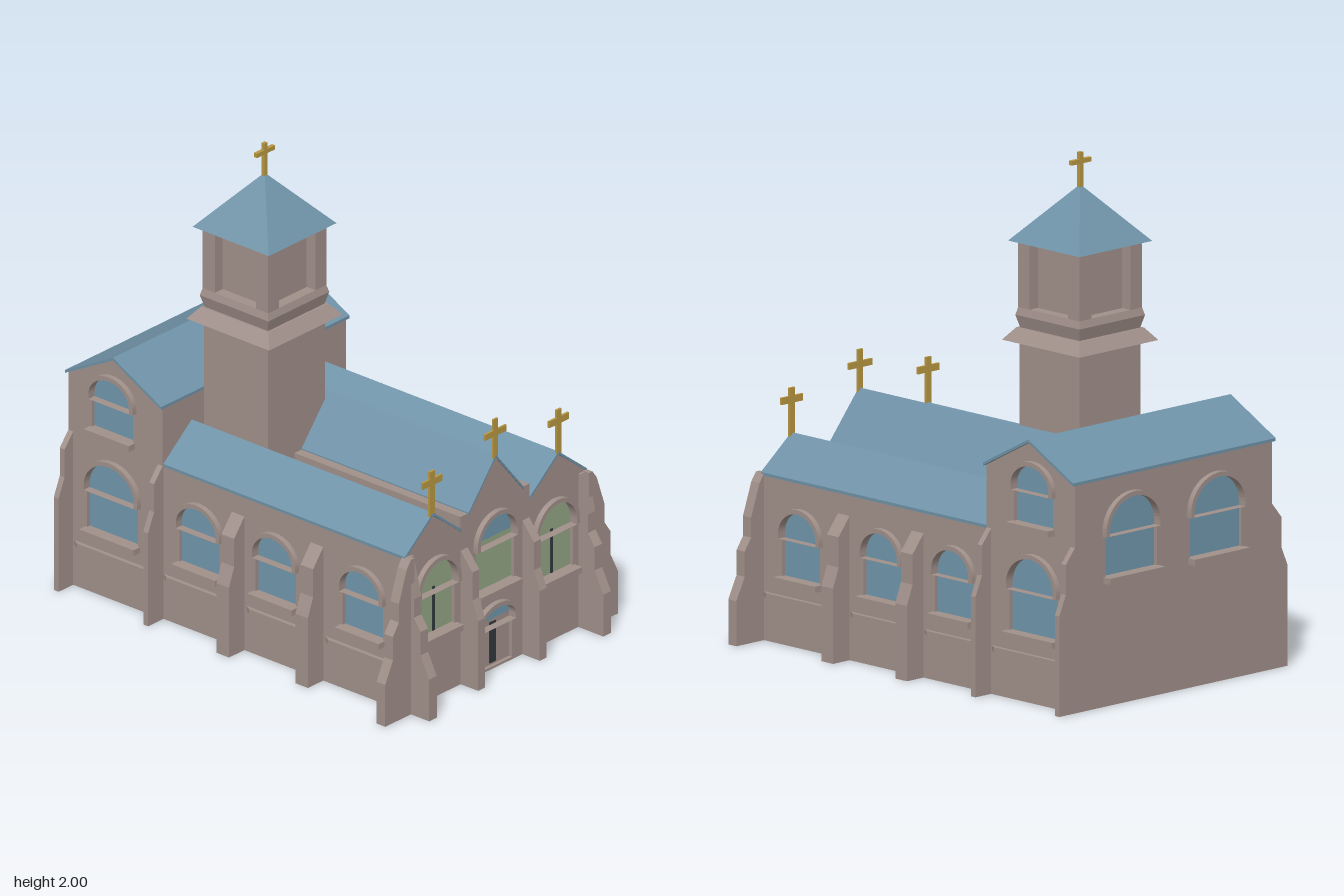
import * as THREE from 'three';

const mat = (name, color, side = THREE.FrontSide) => {
  const m = new THREE.MeshStandardMaterial({ color, side });
  m.name = name;
  return m;
};

export function createModel() {
  const stone = mat('stone', 0xa1908a, THREE.DoubleSide);
  const roofBlue = mat('roofBlue', 0x6f92a7, THREE.DoubleSide);
  const glass = mat('glassBlue', 0x7096ac);
  const green = mat('stainedGreen', 0x92a585);
  const dark = mat('darkIron', 0x2f383b);
  const gold = mat('gold', 0xb89742);

  const model = new THREE.Group();
  model.name = 'church';

  const add = (parent, name, geo, material, x = 0, y = 0, z = 0) => {
    const m = new THREE.Mesh(geo, material);
    m.name = name;
    m.position.set(x, y, z);
    parent.add(m);
    return m;
  };
  const box = (parent, name, material, w, h, d, x, y, z) =>
    add(parent, name, new THREE.BoxGeometry(w, h, d), material, x, y, z);
  const poly = pts => new THREE.Shape(pts.map(p => new THREE.Vector2(p[0], p[1])));
  const extrude = (shape, depth) =>
    new THREE.ExtrudeGeometry(shape, { depth, bevelEnabled: false, curveSegments: 14 });

  // Arched outline: centre, half width, bottom, spring line, top
  const archShape = ({ c, w, b, s, t }, grow = 0) => {
    const sh = new THREE.Shape();
    sh.moveTo(c - w - grow, b);
    sh.lineTo(c + w + grow, b);
    sh.lineTo(c + w + grow, s);
    sh.absellipse(c, s, w + grow, t - s + grow, 0, Math.PI, false);
    sh.lineTo(c - w - grow, b);
    return sh;
  };

  // Window or door with recessed pane, hood moulding and sill
  const opening = (wall, o) => {
    const { c, w, b, s, t, lower = glass, upper = glass, sill = true, mullion = 0 } = o;
    const pane = new THREE.Group();
    pane.name = o.door ? 'door' : 'window';
    wall.add(pane);
    add(pane, 'paneLower', new THREE.PlaneGeometry(2 * w, s - b), lower, c, (s + b) / 2, -0.016);
    add(pane, 'paneUpper', new THREE.ShapeGeometry(archShape({ c, w, b: s, s, t }), 14), upper, 0, 0, -0.016);
    add(pane, 'paneBacking', new THREE.ShapeGeometry(archShape(o), 14), stone, 0, 0, -0.026);
    if (mullion) box(pane, 'centreBar', dark, mullion, s - b - 0.02, 0.004, c, (s + b) / 2, -0.013);
    const low = s - 0.02;
    const hood = archShape({ c, w, b: low, s, t }, 0.016);
    hood.holes.push(archShape({ c, w: w - 0.002, b: low + 0.0005, s, t: t - 0.002 }));
    add(pane, 'hood', extrude(hood, 0.035), stone, 0, 0, -0.012);
    if (sill) box(pane, 'sill', stone, 2 * w + 0.02, 0.025, 0.055, c, b - 0.005, 0.01);
  };

  // Wall: outline in (u, y), outward along local z
  const wall = (name, outline, openings, x, z, turn) => {
    const g = new THREE.Group();
    g.name = name;
    g.position.set(x, 0, z);
    g.rotation.y = turn;
    const sh = poly(outline);
    openings.forEach(o => sh.holes.push(archShape(o)));
    add(g, 'wallFace', extrude(sh, 0.03), stone, 0, 0, -0.03);
    openings.forEach(o => opening(g, o));
    model.add(g);
    return g;
  };

  // Stepped buttress between u0 and u1, profile in (outward, y)
  const buttress = (g, u0, u1, profile) => {
    const top = profile[profile.length - 1][1];
    const geo = extrude(poly([[-0.02, 0], ...profile, [-0.02, top]]), u1 - u0);
    geo.rotateY(-Math.PI / 2);
    add(g, 'buttress', geo, stone, u1, 0, 0);
  };
  // String course with chamfered ends
  const course = (g, u0, u1) => {
    const geo = extrude(poly([[u0, 0], [u1, 0], [u1 - 0.03, -0.018], [u0 + 0.03, -0.018]]), 0.02);
    geo.rotateX(-Math.PI / 2);
    geo.scale(1, 1, 1);
    add(g, 'stringCourse', geo, stone, 0, 0.175, 0);
  };

  const naveStep = [[0.09, 0], [0.09, 0.3], [0.06, 0.38], [0.06, 0.5], [0, 0.575]];
  const transeptStep = [[0.085, 0], [0.085, 0.4], [0.05, 0.48], [0.05, 0.6], [0, 0.66]];
  const cornerStep = [[0.15, 0], [0.15, 0.18], [0.105, 0.27], [0.105, 0.37], [0.07, 0.42],
    [0.07, 0.5], [0.025, 0.63], [0, 0.665]];
  const endStep = [[0.13, 0], [0.13, 0.18], [0.085, 0.27], [0.085, 0.37], [0.05, 0.42],
    [0.05, 0.5], [0.01, 0.66]];

  // Long side walls, mirrored front and back
  for (const s of [1, -1]) {
    const turn = s > 0 ? 0 : Math.PI;
    const tag = s > 0 ? 'front' : 'back';
    const span = (g, fn, a, b, ...r) => (s > 0 ? fn(g, a, b, ...r) : fn(g, -b, -a, ...r));
    const nave = wall(tag + 'NaveWall', [[-0.43 * s, 0], [0.82 * s, 0], [0.82 * s, 0.665], [-0.43 * s, 0.665]],
      [-0.243, 0.153, 0.605].map(c => ({ c: c * s, w: 0.105, b: 0.265, s: 0.445, t: 0.54 })),
      0, 0.53 * s, turn);
    span(nave, buttress, -0.075, -0.01, naveStep);
    span(nave, buttress, 0.335, 0.4, naveStep);
    span(nave, buttress, 0.81, 0.855, cornerStep);
    [[-0.43, -0.08], [0, 0.33], [0.41, 0.81]].forEach(([a, b]) => span(nave, course, a, b));

    const tr = wall(tag + 'TranseptWall',
      [[-0.92, 0], [-0.43, 0], [-0.43, 0.915], [-0.675, 1.04], [-0.92, 0.915]].map(([x, y]) => [x * s, y]),
      [{ c: -0.69 * s, w: 0.132, b: 0.265, s: 0.46, t: 0.58 },
        { c: -0.69 * s, w: 0.107, b: 0.705, s: 0.86, t: 0.95 }],
      0, 0.535 * s, turn);
    span(tr, buttress, -0.92, -0.895, transeptStep);
    span(tr, buttress, -0.455, -0.43, transeptStep);
    span(tr, course, -0.89, -0.46);
  }

  // Three-gabled entrance wall
  const half = [[0.53, 0.665], [0.366, 0.785], [0.2, 0.66], [0.2, 0.72], [0.16, 0.72]];
  const side = { w: 0.11, b: 0.27, s: 0.48, t: 0.59, lower: green, upper: green, mullion: 0.012 };
  const east = wall('entranceWall',
    [[-0.53, 0], [0.53, 0], ...half, [0, 0.905], ...half.map(([u, y]) => [-u, y]).reverse()],
    [{ ...side, c: 0.345 }, { ...side, c: -0.345 },
      { c: 0, w: 0.11, b: 0.345, s: 0.56, t: 0.665, lower: green, upper: glass },
      { c: 0, w: 0.1, b: 0.01, s: 0.205, t: 0.27, lower: stone, upper: glass, sill: false, mullion: 0.035, door: true }],
    0.82, 0, Math.PI / 2);
  for (const s of [1, -1]) {
    buttress(east, s * 0.508 - 0.022, s * 0.508 + 0.022, endStep);
    buttress(east, s * 0.18 - 0.02, s * 0.18 + 0.02, naveStep);
    // Gutter walls between the roofs
    box(model, 'roofGutter', stone, 1.24, 0.1, 0.042, 0.195, 0.67, s * 0.18);
  }

  // Rear wall and inner transept wall above the nave
  wall('rearWall', [[-0.535, 0], [0.535, 0], [0.535, 0.915], [-0.535, 0.915]],
    [0.23, -0.23].map(c => ({ c, w: 0.14, b: 0.51, s: 0.7, t: 0.825 })), -0.92, 0, -Math.PI / 2);
  box(model, 'innerTranseptWall', stone, 0.02, 0.3, 1.07, -0.44, 0.765, 0);

  // Ridge roofs: chevrons given by half width, eave and ridge heights
  const chevron = (name, hw, eave, ridge, length) => {
    const k = 0.012;
    const geo = extrude(poly([[-hw, eave], [0, ridge], [hw, eave], [hw, eave - k], [0, ridge - k], [-hw, eave - k]]), length);
    geo.translate(0, 0, -length / 2);
    return add(model, name, geo, roofBlue);
  };
  const transeptRoof = chevron('transeptRoof', 0.25, 0.92, 1.053, 1.1);
  transeptRoof.position.x = -0.675;
  [[0, 0.16, 0.725, 0.918], [0.366, 0.166, 0.668, 0.8], [-0.366, 0.166, 0.668, 0.8]].forEach(([z, hw, e, r]) => {
    const m = chevron('naveRoof', hw, e, r, 1.255);
    m.rotation.y = Math.PI / 2;
    m.position.set(0.198, 0, z);
  });

  // Square tower
  const tower = new THREE.Group();
  tower.name = 'tower';
  tower.position.set(-0.208, 0, 0.19);
  model.add(tower);
  const frustum = (name, material, bottom, top, y0, y1) => {
    const q = Math.SQRT2;
    let geo = new THREE.CylinderGeometry(top * q, bottom * q, y1 - y0, 4);
    geo.rotateY(Math.PI / 4);
    geo = geo.toNonIndexed();
    geo.computeVertexNormals();
    add(tower, name, geo, material, 0, (y0 + y1) / 2, 0);
  };
  frustum('towerShaft', stone, 0.166, 0.166, 0.66, 1.25);
  frustum('towerCornice', stone, 0.215, 0.175, 1.25, 1.3);
  frustum('belfryBase', stone, 0.165, 0.178, 1.3, 1.35);
  frustum('belfryBevel', stone, 0.178, 0.17, 1.35, 1.38);
  frustum('belfryCore', stone, 0.125, 0.125, 1.37, 1.65);
  for (const x of [-1, 1]) for (const z of [-1, 1])
    box(tower, 'belfryPost', stone, 0.064, 0.27, 0.064, x * 0.138, 1.515, z * 0.138);
  frustum('towerRoof', roofBlue, 0.198, 0.0005, 1.645, 1.87);

  // Crosses with arms along z
  const cross = (parent, x, z, y0, y1, arm, span, w, thick) => {
    const g = new THREE.Group();
    g.name = 'cross';
    g.position.set(x, 0, z);
    parent.add(g);
    box(g, 'crossUpright', gold, thick, y1 - y0, w, 0, (y0 + y1) / 2, 0);
    box(g, 'crossArms', gold, thick, w, span, 0, arm, 0);
  };
  cross(tower, 0, 0, 1.85, 2, 1.963, 0.105, 0.018, 0.016);
  cross(model, 0.82, 0, 0.9, 1.072, 1.012, 0.125, 0.026, 0.01);
  for (const s of [1, -1]) cross(model, 0.82, s * 0.37, 0.785, 0.98, 0.933, 0.115, 0.028, 0.01);

  return model;
}
